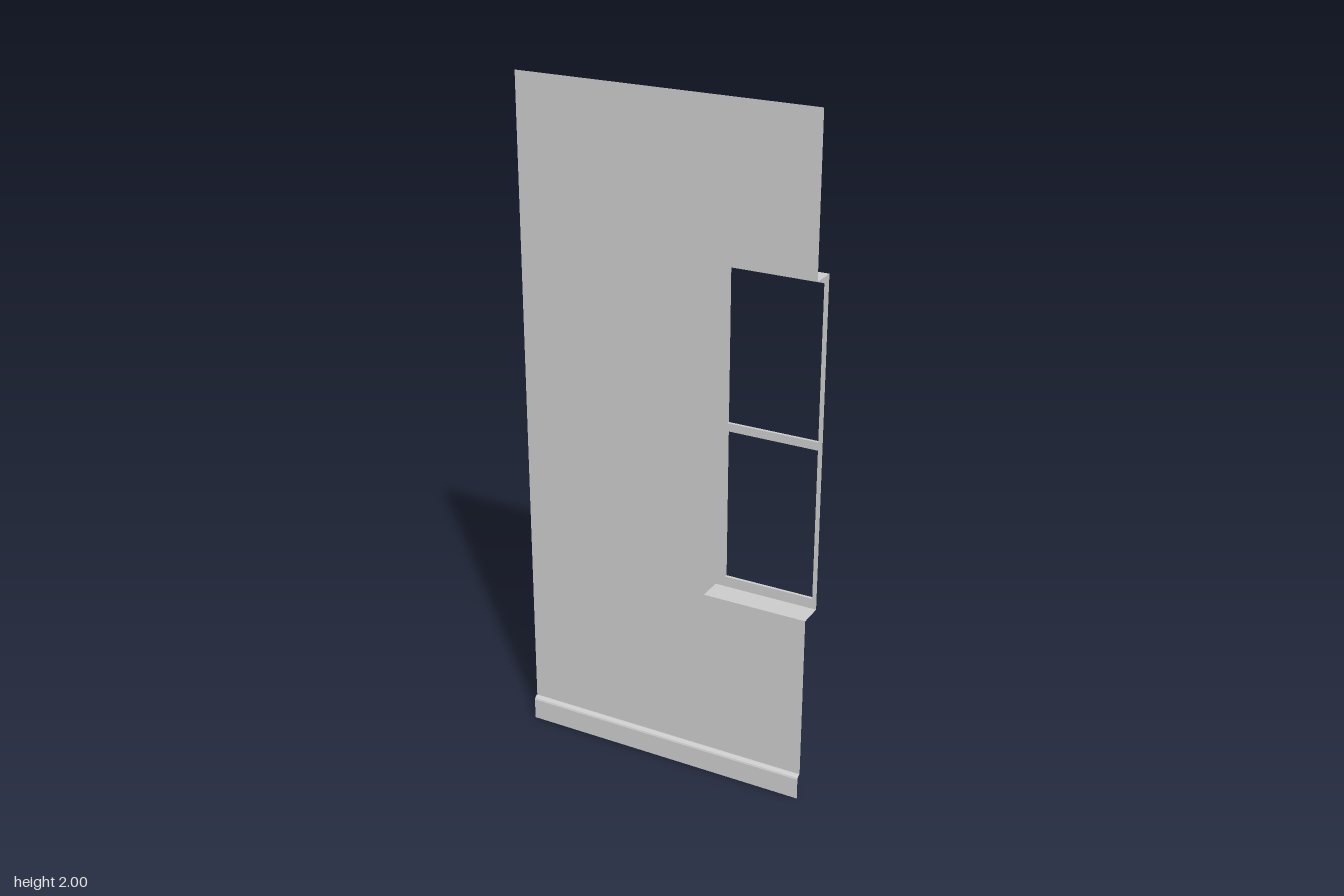
import * as THREE from 'three';

const material = new THREE.MeshStandardMaterial({ color: 0xcccccc, side: THREE.DoubleSide, flatShading: true });

// Main dimensions
const HALF = 0.443, TOP = 2, SKIRT = 0.075;
const WALL_Z = 0.033, FRAME_Z = -0.04, LIP_Z = -0.049, SKIRT_Z = 0.047;
const OPENING = { x0: 0.13, x1: HALF, y0: 0.578, y1: 1.558 };
const PANES = [
  { x0: 0.16, x1: 0.43, y0: 0.609, y1: 1.06 },
  { x0: 0.16, x1: 0.43, y0: 1.084, y1: 1.53 },
];

// Corner points of a rectangle, starting at the lower right
const corners = ({ x0, x1, y0, y1 }) => [[x1, y0], [x0, y0], [x0, y1], [x1, y1]];

function outline(points, Type = THREE.Shape) {
  return new Type(points.map(([x, y]) => new THREE.Vector2(x, y)));
}

// Flat sheet facing +z
function sheet(name, shape, z) {
  const mesh = new THREE.Mesh(new THREE.ShapeGeometry(shape), material);
  mesh.position.z = z;
  mesh.name = name;
  return mesh;
}

// Ribbon joining two matching rows of [x, y, z] points
function ribbon(name, rowA, rowB) {
  const position = [], index = [];
  rowA.forEach((p, i) => {
    position.push(...p, ...rowB[i]);
    if (i > 0) {
      const k = 2 * i;
      index.push(k - 2, k - 1, k, k, k - 1, k + 1);
    }
  });
  const geometry = new THREE.BufferGeometry();
  geometry.setAttribute('position', new THREE.Float32BufferAttribute(position, 3));
  geometry.setIndex(index);
  geometry.computeVertexNormals();
  const mesh = new THREE.Mesh(geometry, material);
  mesh.name = name;
  return mesh;
}

// Ribbon running back along z from an outline
function reveal(name, points, zFront, zBack) {
  return ribbon(name, points.map(([x, y]) => [x, y, zBack]), points.map(([x, y]) => [x, y, zFront]));
}

export function createModel() {
  const model = new THREE.Group();
  model.name = 'wallPanel';

  // Wall sheet, notched at its right edge for the window
  model.add(sheet('wall', outline([
    [-HALF, SKIRT], [HALF, SKIRT], ...corners(OPENING), [HALF, TOP], [-HALF, TOP],
  ]), WALL_Z));

  // Window: three-sided recess, frame with two openings, and a lip round each
  const window = new THREE.Group();
  window.name = 'window';
  window.add(reveal('windowRecess', corners(OPENING), WALL_Z, FRAME_Z));
  const frame = outline(corners(OPENING));
  frame.holes = PANES.map((pane) => outline(corners(pane), THREE.Path));
  window.add(sheet('windowFrame', frame, FRAME_Z));
  for (const pane of PANES) {
    const loop = corners(pane);
    window.add(reveal('paneLip', [...loop, loop[0]], FRAME_Z, LIP_Z));
  }
  model.add(window);

  // Skirting board: open strip with a rounded top edge, as [y, z] profile
  const profile = [
    [SKIRT, WALL_Z], [SKIRT, 0.037], [0.073, 0.041], [0.069, 0.045], [0.064, SKIRT_Z], [0, SKIRT_Z],
  ];
  model.add(ribbon('skirtingBoard',
    profile.map(([y, z]) => [-HALF, y, z]),
    profile.map(([y, z]) => [HALF, y, z])));

  // Face the skirting outwards
  const skirting = model.getObjectByName('skirtingBoard').geometry;
  skirting.index.array.reverse();
  skirting.computeVertexNormals();

  return model;
}
